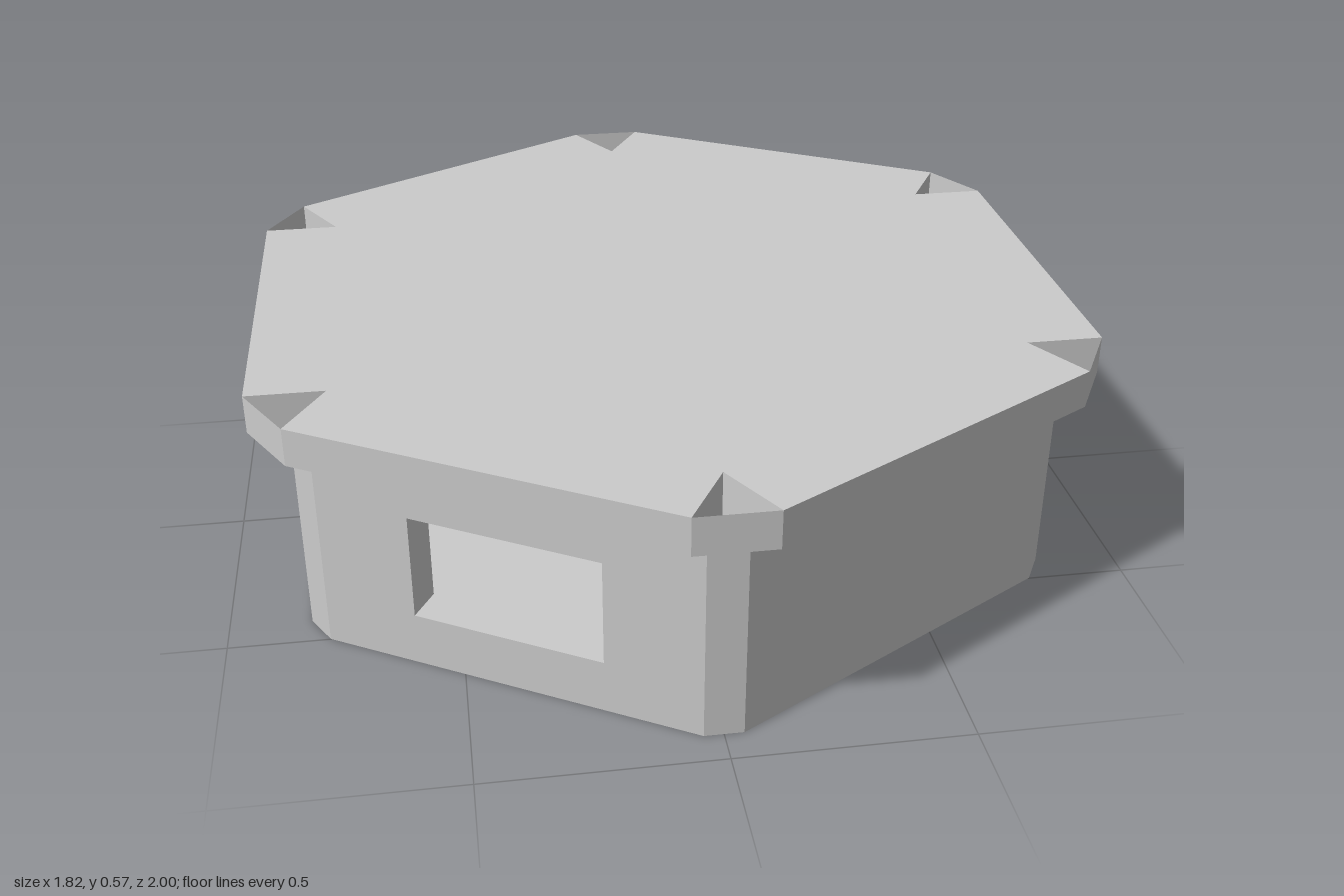
import * as THREE from 'three';

const R = 0.855;                    // inner hexagon corner radius = side length
const INNER = R * Math.cos(Math.PI / 6);
const BODY = 0.823, LID = 0.908;    // distance from centre to the outer flats
const FLOOR = 0.01, BODY_TOP = 0.483, TOP = 0.567;

const solid = new THREE.MeshStandardMaterial({ color: 0xcccccc, flatShading: true });
const sheet = new THREE.MeshStandardMaterial({ color: 0xcccccc, flatShading: true, side: THREE.DoubleSide });

const polygon = (pts, Type = THREE.Shape) => new Type(pts.map(([x, y]) => new THREE.Vector2(x, y)));

function mesh(name, geometry, material = solid) {
  const m = new THREE.Mesh(geometry, material);
  m.name = name;
  return m;
}

// Half width and distance of the blunt corner for a given flat distance
const corner = (flat) => ({ half: (flat - INNER) / 2, dist: R + (flat - INNER) * Math.cos(Math.PI / 6) });

// Hexagonal plate with a V notch at each corner
function notchedPlate(name, flat, y0, y1) {
  const { half, dist } = corner(flat);
  const pts = [];
  for (let i = 0; i < 6; i++) {
    const a = Math.PI / 2 + i * Math.PI / 3, c = Math.cos(a), s = Math.sin(a);
    for (const [r, t] of [[dist, -half], [R, 0], [dist, half]]) pts.push([r * c - t * s, r * s + t * c]);
  }
  const geo = new THREE.ExtrudeGeometry(polygon(pts), { depth: y1 - y0, bevelEnabled: false });
  geo.rotateX(Math.PI / 2).translate(0, y1, 0);
  return mesh(name, geo);
}

// Straight wall panel, plain, with a window, or with a doorway open to the floor
function wall(name, opening) {
  const h = R / 2, d = 0.105, top = 0.36, w = 0.2135, sill = 0.12;
  const door = opening === 'door' ? [[-d, FLOOR], [-d, top], [d, top], [d, FLOOR]] : [];
  const shape = polygon([[-h, FLOOR], ...door, [h, FLOOR], [h, BODY_TOP], [-h, BODY_TOP]]);
  if (opening === 'window') shape.holes.push(polygon([[-w, sill], [-w, top], [w, top], [w, sill]], THREE.Path));
  const geo = new THREE.ExtrudeGeometry(shape, { depth: BODY - INNER, bevelEnabled: false });
  return mesh(name, geo.translate(0, 0, INNER));
}

// Thin skins closing the outside of one notched corner
function cornerSkin() {
  const g = new THREE.Group();
  const b = corner(BODY), l = corner(LID);
  const upright = (name, c, y0, y1) =>
    mesh(name, new THREE.PlaneGeometry(2 * c.half, y1 - y0).translate(0, (y0 + y1) / 2, c.dist), sheet);
  const ledge = new THREE.ShapeGeometry(polygon([[-b.half, b.dist], [b.half, b.dist], [l.half, l.dist], [-l.half, l.dist]]));
  ledge.rotateX(Math.PI / 2).translate(0, BODY_TOP, 0);
  g.add(upright('bodyCorner', b, 0, BODY_TOP), upright('lidCorner', l, BODY_TOP, TOP), mesh('cornerLedge', ledge, sheet));
  g.name = 'cornerSkin';
  return g;
}

export function createModel() {
  const model = new THREE.Group();
  model.name = 'hexagonalBox';
  model.add(notchedPlate('floor', BODY, 0, FLOOR), notchedPlate('lid', LID, BODY_TOP, TOP));

  const walls = [
    ['frontLeftWall'], ['leftWall'], ['backLeftWall'],
    ['backRightWall', 'window'], ['rightWall', 'door'], ['frontRightWall', 'window'],
  ];
  walls.forEach(([name, opening], i) => {
    const panel = wall(name, opening);
    panel.rotation.y = Math.PI / 6 + i * Math.PI / 3;
    const skin = cornerSkin();
    skin.rotation.y = i * Math.PI / 3;
    model.add(panel, skin);
  });
  return model;
}
